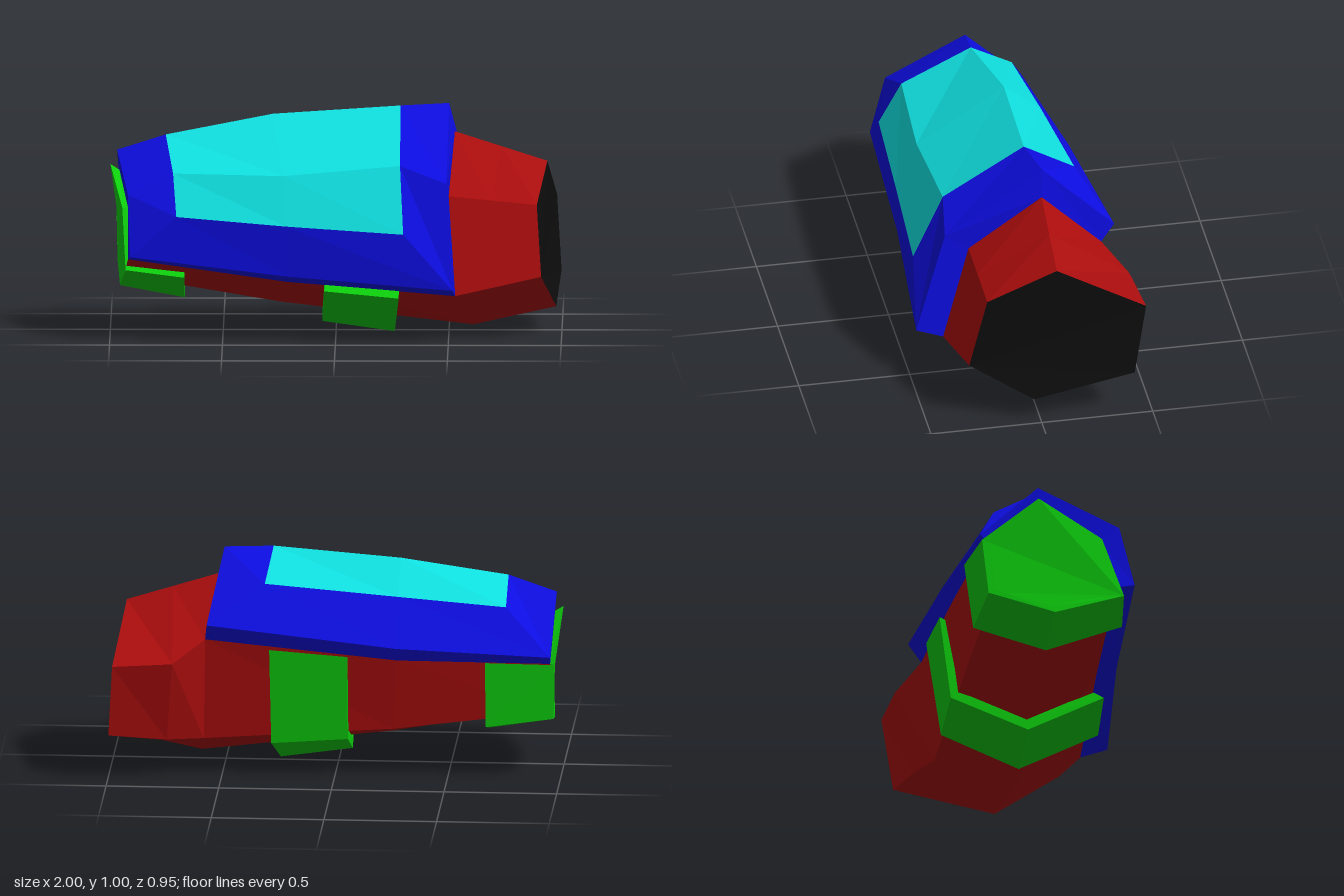
import * as THREE from 'three';

const RED = 0xaa0d0d, BLUE = 0x0d0de0, CYAN = 0x10e0e0, GREEN = 0x0dcc0d, BLACK = 0x0d0d0d;

// Flat-shaded mesh from quads (or triangles) given as lists of [x, y, z] corners
function faceted(name, color, faces) {
  const pos = [];
  for (const f of faces)
    for (let i = 1; i < f.length - 1; i++) pos.push(...f[0], ...f[i], ...f[i + 1]);
  const geo = new THREE.BufferGeometry();
  geo.setAttribute('position', new THREE.Float32BufferAttribute(pos, 3));
  geo.computeVertexNormals();
  const mesh = new THREE.Mesh(geo, new THREE.MeshStandardMaterial({ color, flatShading: true, side: THREE.DoubleSide }));
  mesh.name = name;
  return mesh;
}

// Quads joining two rows of points; closed rows wrap around
function strip(a, b, closed = false) {
  const out = [];
  const n = closed ? a.length : a.length - 1;
  for (let i = 0; i < n; i++) {
    const j = (i + 1) % a.length;
    out.push([a[i], b[i], b[j], a[j]]);
  }
  return out;
}
const loft = (rows, closed) => rows.slice(1).flatMap((r, i) => strip(rows[i], r, closed));
const column = (rows, i) => rows.map(r => r[i]);

// Arm sections: front lower, front upper, ridge, back upper, back lower, bottom
const armEnd = [[0.91, 0.28, 0.31], [0.89, 0.59, 0.225], [0.935, 0.745, -0.08], [0.975, 0.54, -0.475], [0.995, 0.21, -0.42], [0.975, 0.11, 0.03]];
const armBulge = [[0.72, 0.24, 0.333], [0.69, 0.61, 0.23], [0.73, 0.81, -0.085], [0.71, 0.55, -0.45], [0.74, 0.18, -0.36], [0.79, 0.07, 0.035]];
const armNeck = [[0.53, 0.2, 0.355], [0.5, 0.63, 0.235], [0.525, 0.875, -0.09], [0.57, 0.64, -0.35], [0.58, 0.17, -0.29], [0.61, 0.03, 0.04]];
const armMid = [[-0.22, 0.26, 0.33], [-0.23, 0.6, 0.22], [-0.28, 0.8, -0.06], [-0.28, 0.55, -0.32], [-0.26, 0.22, -0.26], [-0.24, 0.13, 0.04]];
const armTip = [[-0.92, 0.36, 0.33], [-0.92, 0.58, 0.25], [-0.96, 0.71, -0.03], [-0.955, 0.53, -0.26], [-0.96, 0.3, -0.22], [-0.94, 0.25, 0.05]];

// Shell corners: front lower, front upper, ridge, back
const shellWide = [[0.52, 0.24, 0.475], [0.49, 0.7, 0.34], [0.5, 1.0, -0.1], [0.56, 0.72, -0.41]];
const shellNarrow = [[-0.91, 0.38, 0.41], [-0.92, 0.65, 0.34], [-0.97, 0.8, -0.03], [-0.955, 0.565, -0.285]];
const shellFront = [-0.21, 0.295, 0.42], shellBack = [-0.28, 0.615, -0.365];

// Raised panel sections, same order
const panel = [
  [[0.3, 0.487, 0.447], [0.285, 0.775, 0.31], [0.285, 0.995, -0.055], [0.31, 0.88, -0.278]],
  [[-0.22, 0.52, 0.425], [-0.23, 0.732, 0.33], [-0.28, 0.955, -0.073], [-0.28, 0.82, -0.24]],
  [[-0.705, 0.56, 0.41], [-0.72, 0.74, 0.305], [-0.755, 0.87, -0.015], [-0.755, 0.77, -0.2]],
];

// U-shaped strap: outer points (front lower, bottom, back lower, back upper) at both sides
function strap(name, a, b) {
  const inset = p => [p[0], p[1] + (0.42 - p[1]) * 0.13, p[2] * 0.87];
  const ai = a.map(inset), bi = b.map(inset);
  return faceted(name, GREEN, [
    ...strip(a, b), ...strip(a, ai), ...strip(b, bi),
    [a[0], b[0], bi[0], ai[0]], [a[3], b[3], bi[3], ai[3]],
  ]);
}

export function createModel() {
  const group = new THREE.Group();
  group.name = 'forearmGuard';

  // Six-sided arm and its dark open end
  group.add(faceted('arm', RED, loft([armEnd, armBulge, armNeck, armMid, armTip], true)));
  group.add(faceted('armEnd', BLACK, [armEnd]));

  // Shell frame around the panel, with rims that close against the arm
  const lowerFront = [shellWide[0], shellFront, shellNarrow[0]];
  const lowerBack = [shellWide[3], shellBack, shellNarrow[3]];
  const sections = [armNeck, armMid, armTip];
  group.add(faceted('shell', BLUE, [
    ...strip(shellWide, panel[0]),
    ...strip(panel[2], shellNarrow),
    ...strip(lowerFront, column(panel, 0)),
    ...strip(column(panel, 3), lowerBack),
    ...strip(shellWide, armNeck.slice(0, 4)),
    ...strip(shellNarrow, armTip.slice(0, 4)),
    ...strip(lowerFront, column(sections, 0)),
    ...strip(lowerBack, column(sections, 3)),
  ]));
  group.add(faceted('shellPanel', CYAN, loft(panel)));

  // Straps under the arm
  group.add(strap('elbowStrap',
    [[0.28, 0.195, 0.402], [0.26, 0, 0.045], [0.28, 0.155, -0.3], [0.285, 0.6, -0.365]],
    [[-0.05, 0.225, 0.385], [-0.06, 0.045, 0.045], [-0.06, 0.18, -0.3], [-0.06, 0.57, -0.35]]));
  const plate = [[-0.93, 0.315, 0.36], [-0.945, 0.58, 0.26], [-1, 0.735, -0.03], [-0.975, 0.53, -0.28], [-0.97, 0.275, -0.25], [-0.957, 0.205, 0.05]];
  group.add(strap('wristStrap',
    [[-0.67, 0.285, 0.385], [-0.67, 0.15, 0.045], [-0.67, 0.24, -0.28], [-0.67, 0.545, -0.32]],
    [plate[0], plate[5], plate[4], plate[3]]));

  // Wrist end plate
  group.add(faceted('wristPlate', GREEN, [plate, ...strip(plate, armTip, true)]));
  return group;
}
